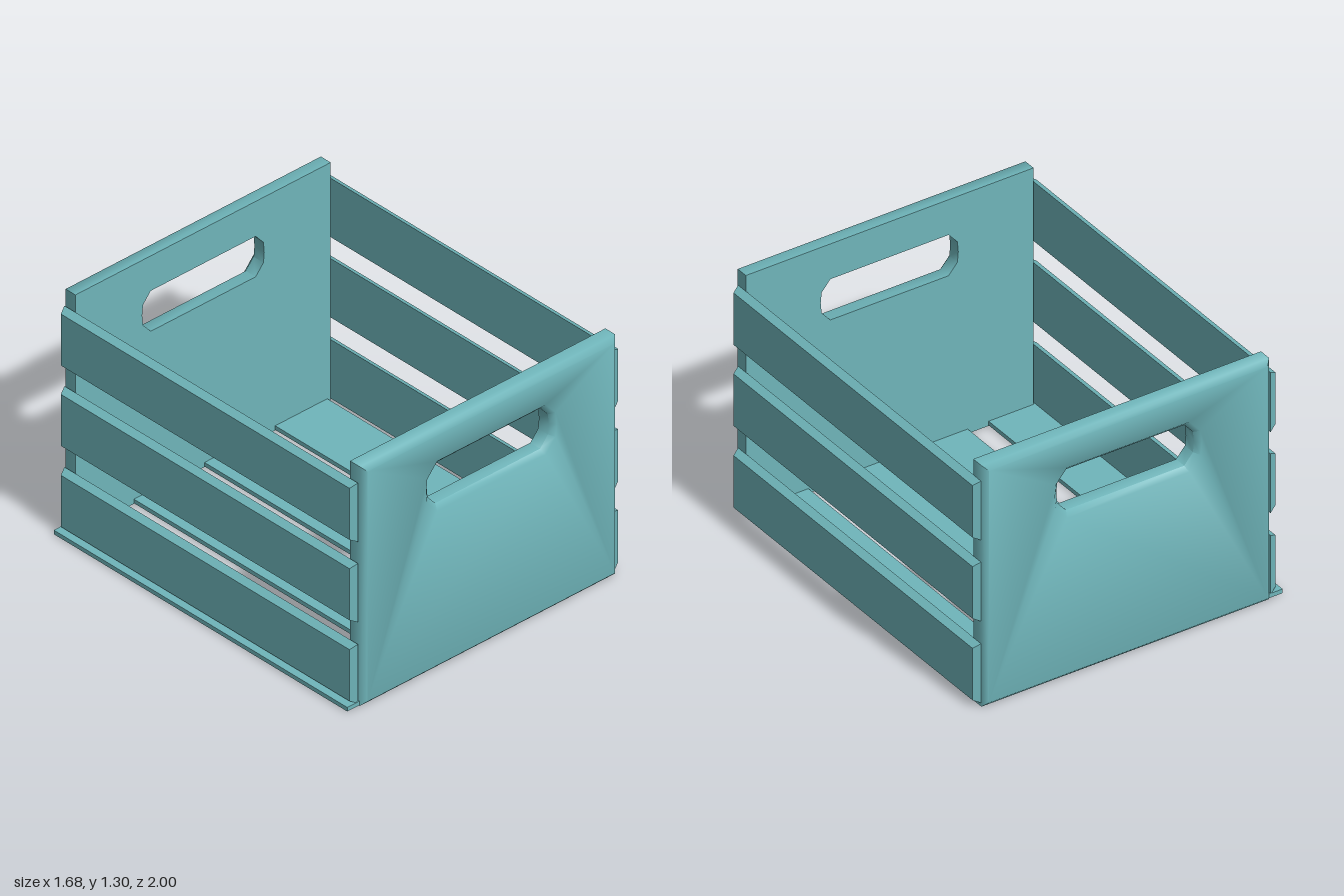
import * as THREE from 'three';
import { toCreasedNormals } from 'three/addons/utils/BufferGeometryUtils.js';

// End panel: chamfered on its outer face (+z), flat on its inner face, with a handle slot
function endPanelGeometry() {
  const shape = new THREE.Shape();
  shape.moveTo(-0.765, 0).lineTo(0.803, 0).lineTo(0.803, 1.3).lineTo(-0.765, 1.3).closePath();

  const cx = 0.02, cy = 1.0;
  const quarter = [[0.375, 0], [0.37, 0.055], [0.322, 0.11]];
  const right = [...quarter.slice(1).reverse().map(([x, y]) => [x, -y]), ...quarter];
  const left = right.map(([x, y]) => [-x, -y]);
  const slot = [...right, ...left].map(([x, y]) => new THREE.Vector2(cx + x, cy + y));
  shape.holes.push(new THREE.Path(slot.reverse()));

  const bevel = 0.025;
  const geo = new THREE.ExtrudeGeometry(shape, {
    depth: 0.09 - bevel, bevelEnabled: true, bevelSegments: 1,
    bevelSize: bevel, bevelOffset: -bevel, bevelThickness: bevel,
  });
  // Flatten the chamfer on the inner side
  const p = geo.attributes.position;
  for (let i = 0; i < p.count; i++) p.setZ(i, Math.max(0, p.getZ(i)));
  return toCreasedNormals(geo, 0.9);
}

// Side slat: box whose outer (+x) face is inset on all four edges
function sideSlatGeometry() {
  const geo = new THREE.BoxGeometry(0.037, 0.32, 1.945);
  const p = geo.attributes.position;
  for (let i = 0; i < p.count; i++) {
    if (p.getX(i) < 0) continue;
    p.setY(i, p.getY(i) - Math.sign(p.getY(i)) * 0.02);
    p.setZ(i, p.getZ(i) - Math.sign(p.getZ(i)) * 0.016);
  }
  return toCreasedNormals(geo, 0.3);
}

export function createModel() {
  const crate = new THREE.Group();
  crate.name = 'crate';
  const teal = new THREE.MeshStandardMaterial({ color: 0x6fb5ba });
  teal.name = 'teal';

  const add = (name, geo, x, y, z) => {
    const mesh = new THREE.Mesh(geo, teal);
    mesh.name = name;
    mesh.position.set(x, y, z);
    crate.add(mesh);
    return mesh;
  };

  // End panels; the back one is a mirror image of the front
  const panel = endPanelGeometry();
  add('frontPanel', panel, 0, 0, 0.91);
  add('backPanel', panel, 0, 0, -0.91).scale.z = -1;

  // Three slats on each side
  const slat = sideSlatGeometry();
  [0.178, 0.618, 1.055].forEach((y, i) => {
    add(`leftSlat${i + 1}`, slat, 0.8205, y, 0);
    add(`rightSlat${i + 1}`, slat, -0.793, y, 0).rotation.y = Math.PI;
  });

  // Four floor slats
  const floorSlat = new THREE.BoxGeometry(0.32, 0.022, 1.945);
  for (let i = 0; i < 4; i++) add(`floorSlat${i + 1}`, floorSlat, -0.68 + i * 0.434, 0.014, 0);

  return crate;
}
